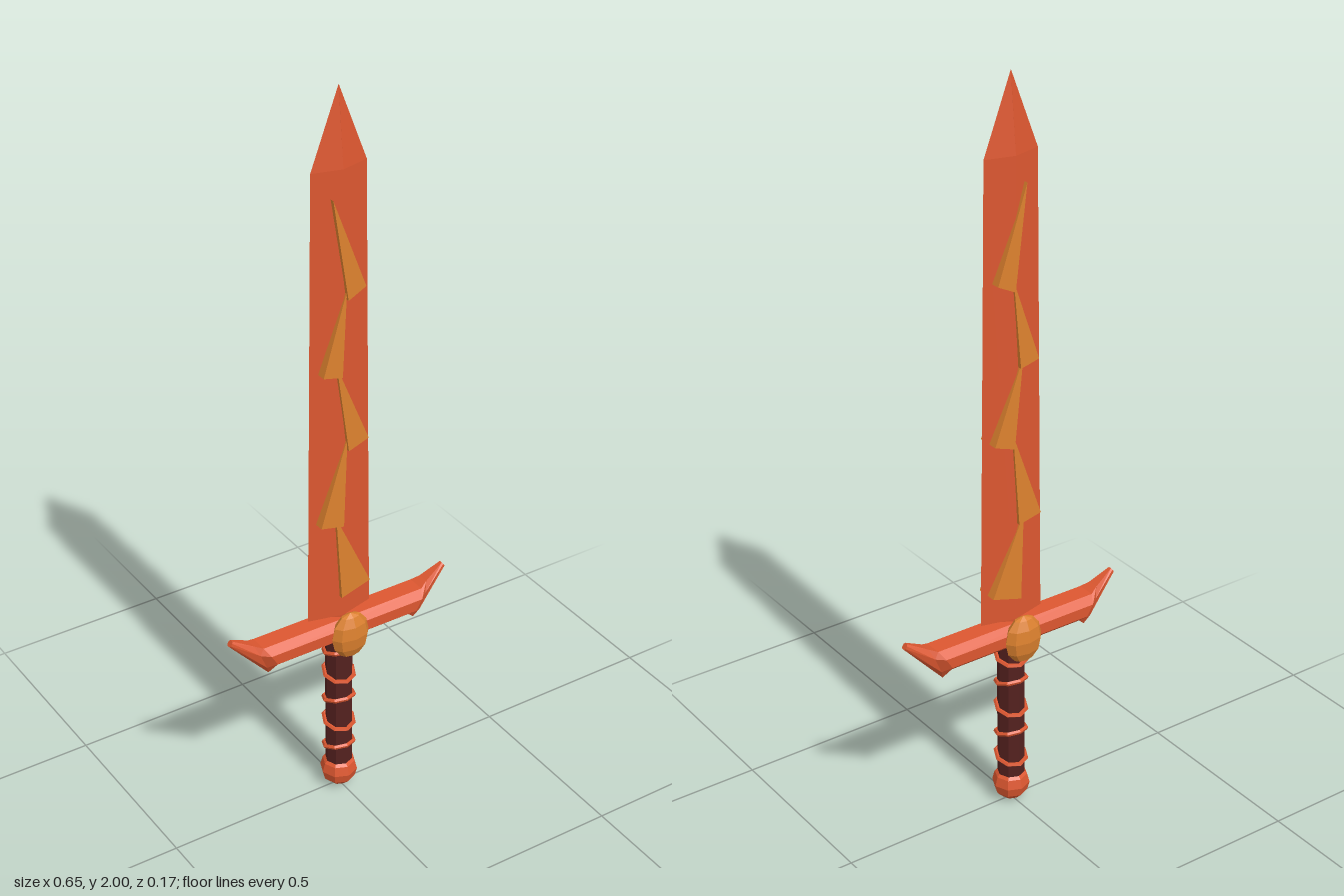
import * as THREE from 'three';

const red = new THREE.MeshStandardMaterial({ color: 0xdc5730 });
red.name = 'ember red';
const amber = new THREE.MeshStandardMaterial({ color: 0xdb802e });
amber.name = 'amber';
const leather = new THREE.MeshStandardMaterial({ color: 0x54211f });
leather.name = 'dark leather';

// Faceted mesh: every triangle keeps its own normal
function part(name, geometry, material) {
  const geo = geometry.index ? geometry.toNonIndexed() : geometry;
  geo.computeVertexNormals();
  const mesh = new THREE.Mesh(geo, material);
  mesh.name = name;
  return mesh;
}

// Joins rings of equal point count and caps both ends
function loft(rings) {
  const n = rings[0].length;
  const index = [];
  for (let i = 0; i < rings.length - 1; i++) {
    for (let j = 0; j < n; j++) {
      const a = i * n + j, b = i * n + (j + 1) % n;
      index.push(a, b, a + n, b, b + n, a + n);
    }
  }
  const last = (rings.length - 1) * n;
  for (let j = 1; j < n - 1; j++) {
    index.push(0, j + 1, j, last, last + j, last + j + 1);
  }
  const geo = new THREE.BufferGeometry();
  geo.setAttribute('position', new THREE.Float32BufferAttribute(rings.flat(2), 3));
  geo.setIndex(index);
  return geo;
}

// Diamond-section blade with a narrow tang
function makeBlade() {
  const sections = [ // y, half width, half thickness
    [0.5, 0.03, 0.02], [0.56, 0.03, 0.02], [0.56, 0.093, 0.023],
    [1.8, 0.077, 0.02], [2.0, 0.0005, 0.0005],
  ];
  const rings = sections.map(([y, w, t]) => [[0, y, t], [w, y, 0], [0, y, -t], [-w, y, 0]]);
  return part('blade', loft(rings), red);
}

// Zigzag flame: wedges that thicken downwards, standing proud of both faces
function makeFlame() {
  const group = new THREE.Group();
  group.name = 'flame';
  const teeth = [ // pointed top, outer corner, inner corner
    [[-0.03, 1.73], [0.058, 1.49], [0.008, 1.465]],
    [[0.008, 1.49], [-0.062, 1.275], [-0.008, 1.262]],
    [[-0.02, 1.29], [0.068, 1.07], [0.01, 1.05]],
    [[0.01, 1.085], [-0.07, 0.85], [-0.004, 0.835]],
    [[-0.022, 0.86], [0.075, 0.645], [-0.01, 0.62]],
  ];
  teeth.forEach((corners, i) => {
    const shape = new THREE.Shape(corners.map(([x, y]) => new THREE.Vector2(x, y)));
    const geo = new THREE.ExtrudeGeometry(shape, { depth: 1, bevelEnabled: false });
    const pos = geo.attributes.position;
    const top = corners[0][1], bottom = corners[2][1];
    for (let v = 0; v < pos.count; v++) {
      const k = (top - pos.getY(v)) / (top - bottom);
      pos.setZ(v, (pos.getZ(v) * 2 - 1) * (0.024 + 0.007 * k));
    }
    group.add(part(`flameTooth${i + 1}`, geo, amber));
  });
  return group;
}

// Eight-sided crossguard with upswept horns at both ends
function makeGuard() {
  const half = [ // top x, top y, bottom x, bottom y, half depth
    [0.24, 0.55, 0.2, 0.484, 0.045],
    [0.262, 0.56, 0.222, 0.463, 0.028],
    [0.318, 0.591, 0.327, 0.577, 0.008],
  ];
  const mirrored = half.map(([tx, ty, bx, by, d]) => [-tx, ty, -bx, by, d]).reverse();
  const profile = [[1, 0.55], [0.45, 1], [-0.45, 1], [-1, 0.55], [-1, -0.55], [-0.45, -1], [0.45, -1], [1, -0.55]];
  const rings = [...mirrored, ...half].map(([tx, ty, bx, by, d]) =>
    profile.map(([u, w]) => {
      const k = (u + 1) / 2;
      return [bx + (tx - bx) * k, by + (ty - by) * k, d * w];
    }));
  return part('crossguard', loft(rings), red);
}

export function createModel() {
  const model = new THREE.Group();
  model.name = 'sword';
  model.add(makeBlade(), makeFlame(), makeGuard());

  // Oval gems on both faces of the guard
  for (const side of [1, -1]) {
    const gem = part(side > 0 ? 'frontGem' : 'backGem', new THREE.SphereGeometry(1, 8, 6).scale(0.055, 0.067, 0.029), amber);
    gem.position.set(0, 0.518, side * 0.055);
    model.add(gem);
  }

  // Grip
  const grip = part('grip', new THREE.CylinderGeometry(0.036, 0.036, 0.42, 8), leather);
  grip.position.y = 0.29;
  model.add(grip);

  // Grip rings, tilted alternately
  [0.44, 0.368, 0.288, 0.212, 0.134].forEach((y, i) => {
    const ring = part(`gripRing${i + 1}`, new THREE.TorusGeometry(0.041, 0.006, 5, 8).rotateX(Math.PI / 2), red);
    ring.rotation.x = i % 2 ? 0.3 : -0.3;
    ring.position.y = y;
    model.add(ring);
  });

  // Pommel
  const pommel = part('pommel', new THREE.SphereGeometry(0.05, 8, 6), red);
  pommel.position.y = 0.05;
  model.add(pommel);

  return model;
}
